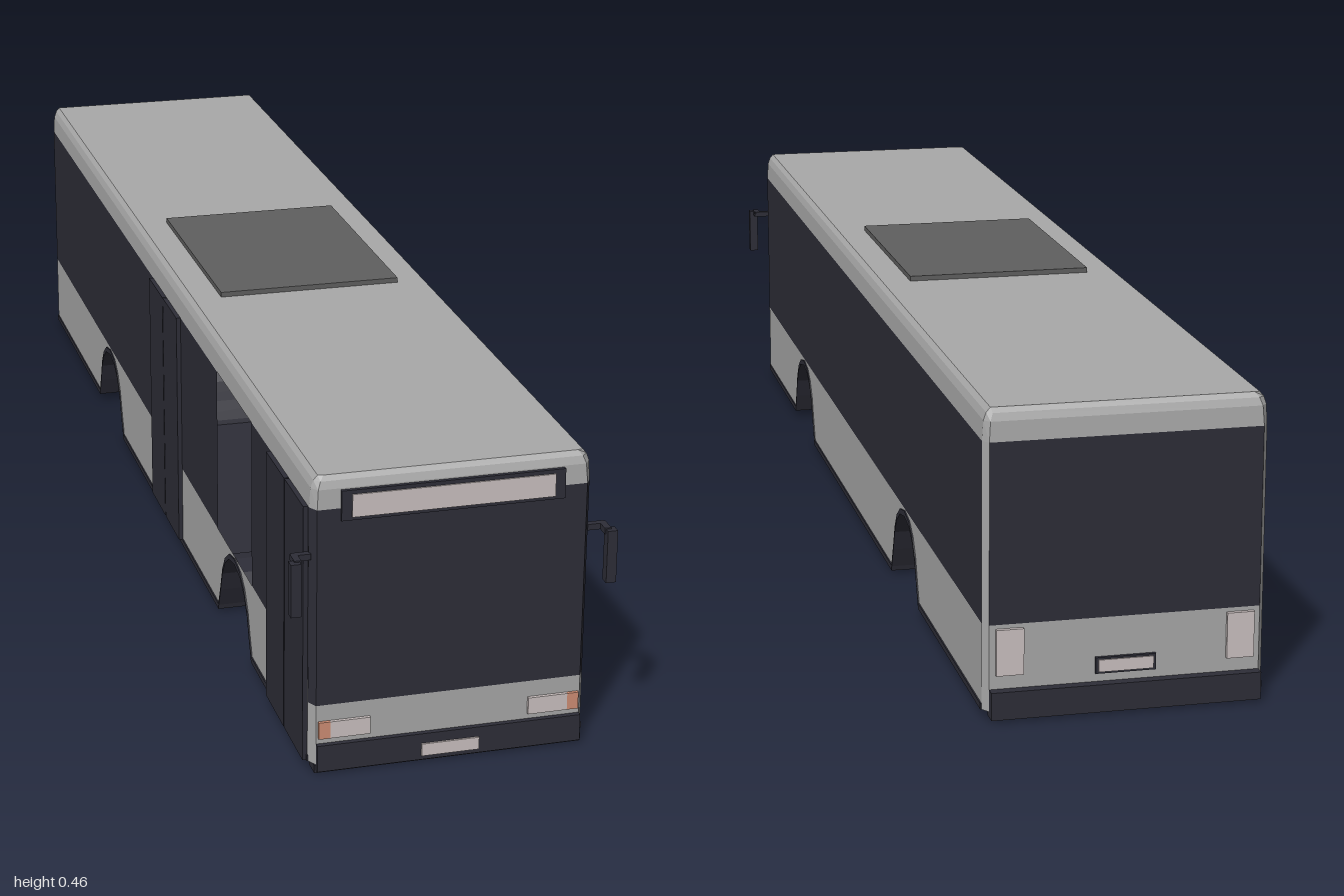
import * as THREE from 'three';

const mat = (name, color, side = THREE.DoubleSide) => {
  const m = new THREE.MeshStandardMaterial({ color, side });
  m.name = name;
  return m;
};

export function createModel() {
  const bus = new THREE.Group();
  bus.name = 'bus';
  const grey = mat('bodyGrey', 0xa8a8a8);
  const dark = mat('darkGlass', 0x2d2d37);
  const hatchGrey = mat('hatchGrey', 0x5f5f5f);
  const lamp = mat('paleLamp', 0xcbc1c0);
  const orange = mat('indicatorOrange', 0xce8e74);

  const add = (name, geo, material) => {
    const m = new THREE.Mesh(geo, material);
    m.name = name;
    bus.add(m);
    return m;
  };
  // Box given by its limits on each axis
  const box = (name, material, [x0, x1], [y0, y1], [z0, z1]) => {
    const m = add(name, new THREE.BoxGeometry(x1 - x0, y1 - y0, z1 - z0), material);
    m.position.set((x0 + x1) / 2, (y0 + y1) / 2, (z0 + z1) / 2);
  };
  // Flat skin: 2D outline mapped into space by a rule
  const skin = (name, material, pts, place) => {
    const geo = new THREE.ShapeGeometry(new THREE.Shape(pts.map(p => new THREE.Vector2(...p))));
    const pos = geo.attributes.position;
    for (let i = 0; i < pos.count; i++) pos.setXYZ(i, ...place(pos.getX(i), pos.getY(i)));
    geo.computeVertexNormals();
    add(name, geo, material);
  };
  const rect = (a0, a1, b0, b1) => [[a0, b0], [a1, b0], [a1, b1], [a0, b1]];

  const W = 0.205, NOSE = 0.197, ZF = 0.982, ZR = -0.985, CF = 0.968, CR = -0.973;
  const BELT = 0.14, EAVE = 0.405;

  // Lower edge of the body, with two wheel arches
  const arch = [[-0.106, 0.012], [-0.092, 0.045], [-0.08, 0.078], [-0.062, 0.104], [-0.036, 0.122], [0, 0.129],
    [0.036, 0.122], [0.062, 0.104], [0.08, 0.078], [0.092, 0.045], [0.106, 0.012]];
  const archAt = c => arch.map(([z, y]) => [z + c, y]);
  const edge = [[CR, 0.012], ...archAt(-0.43), [-0.322, 0.004], [0.427, 0.004], ...archAt(0.535), [CF, 0.012]];

  // Underbody and wheel arch liners
  const under = new THREE.Shape([...edge, ...edge.map(([z, y]) => [z, y + 0.009]).reverse()]
    .map(p => new THREE.Vector2(...p)));
  const underGeo = new THREE.ExtrudeGeometry(under, { depth: 0.414, bevelEnabled: false });
  underGeo.rotateY(-Math.PI / 2).translate(0.207, 0, 0);
  add('underbody', underGeo, dark);

  // Side walls: the right one has an open window
  for (const s of [1, -1]) {
    const tag = s > 0 ? 'left' : 'right';
    const place = (z, y) => [s * W, y, z];
    skin(tag + 'LowerPanel', grey, [...edge, [CF, BELT], [CR, BELT]], place);
    const spans = s > 0 ? [[CR, CF]] : [[CR, 0.42], [0.64, CF]];
    for (const [a, b] of spans) skin(tag + 'Windows', dark, rect(a, b, BELT, EAVE), place);
    // Chamfered corner posts
    const post = (name, m, z0, z1, y0, y1) =>
      skin(tag + name, m, rect(0, 1, y0, y1), (t, y) => [s * (W + (NOSE - W) * t), y, z0 + (z1 - z0) * t]);
    post('FrontPostLower', grey, CF, ZF, 0.012, 0.105);
    post('FrontPostUpper', dark, CF, ZF, 0.105, EAVE);
    post('RearPost', grey, CR, ZR, 0.012, EAVE);
  }

  // End walls
  const front = (x, y) => [x, y, ZF], rear = (x, y) => [x, y, ZR];
  skin('frontPanel', grey, rect(-NOSE, NOSE, 0.012, 0.105), front);
  skin('windscreen', dark, rect(-NOSE, NOSE, 0.105, EAVE), front);
  skin('rearPanel', grey, rect(-NOSE, NOSE, 0.012, BELT), rear);
  skin('rearWindow', dark, rect(-NOSE, NOSE, BELT, EAVE), rear);

  // Roof: stacked eight-sided rings closed by a cap
  const ring = (y, d) => {
    const half = [[W - d, CR], [W - d, CF], [NOSE - d, ZF - d], [-NOSE + d, ZF - d],
      [-W + d, CF], [-W + d, CR], [-NOSE + d, ZR + d], [NOSE - d, ZR + d]];
    return half.map(([x, z]) => [x, y, Math.max(ZR + d, Math.min(ZF - d, z))]);
  };
  const rings = [ring(EAVE, 0), ring(0.434, 0.002), ring(0.445, 0.006), ring(0.452, 0.012)];
  const verts = [];
  for (let r = 0; r < rings.length - 1; r++) {
    for (let i = 0; i < 8; i++) {
      const j = (i + 1) % 8, [a, b, c, d] = [rings[r][i], rings[r][j], rings[r + 1][j], rings[r + 1][i]];
      verts.push(...a, ...c, ...b, ...a, ...d, ...c);
    }
  }
  const top = rings[rings.length - 1];
  for (let i = 1; i < 7; i++) verts.push(...top[0], ...top[i + 1], ...top[i]);
  // Put corners in outward order
  for (let i = 0; i < verts.length; i += 9) {
    const [a, b, c] = [0, 3, 6].map(k => new THREE.Vector3(...verts.slice(i + k, i + k + 3)));
    const n = b.clone().sub(a).cross(c.clone().sub(a));
    if (n.dot(a.clone().add(b).add(c).divideScalar(3).sub(new THREE.Vector3(0, 0.2, 0))) < 0) {
      verts.splice(i + 3, 6, ...c.toArray(), ...b.toArray());
    }
  }
  const roof = new THREE.BufferGeometry();
  roof.setAttribute('position', new THREE.Float32BufferAttribute(verts, 3));
  roof.computeVertexNormals();
  add('roof', roof, grey);
  box('roofHatch', hatchGrey, [-0.148, 0.148], [0.45, 0.46], [-0.195, 0.212]);

  // Two double-leaf doors on the right side
  for (const z of [-0.045, 0.755]) {
    for (const k of [0, 1]) {
      box('doorLeaf', dark, [-0.212, -0.204], [0.012, EAVE], [z + k * 0.106, z + k * 0.106 + 0.103]);
    }
  }

  // Front details
  box('frontBumper', dark, [-0.197, 0.197], [0.004, 0.045], [0.97, 0.99]);
  box('frontBumperLip', dark, [-0.2, 0.2], [0, 0.012], [0.955, 0.984]);
  box('frontPlate', lamp, [-0.043, 0.043], [0.011, 0.03], [0.987, 0.993]);
  box('signFrame', dark, [-0.163, 0.163], [0.387, 0.432], [0.978, 0.986]);
  box('destinationSign', lamp, [-0.148, 0.148], [0.392, 0.426], [0.981, 0.988]);

  // Rear details
  box('rearBumper', dark, [-0.197, 0.197], [0.004, 0.045], [-1, -0.975]);
  box('rearPlateFrame', dark, [-0.044, 0.044], [0.058, 0.082], [-0.99, -0.984]);
  box('rearPlate', lamp, [-0.04, 0.04], [0.061, 0.079], [-0.992, -0.986]);

  // Lamps and mirrors, mirrored across the middle
  for (const s of [1, -1]) {
    const span = (a, b) => (s > 0 ? [a, b] : [-b, -a]);
    box('headlight', lamp, span(0.118, 0.177), [0.054, 0.08], [0.978, 0.987]);
    box('indicator', orange, span(0.177, 0.194), [0.054, 0.08], [0.978, 0.987]);
    box('rearLamp', lamp, span(0.148, 0.188), [0.066, 0.134], [-0.991, -0.982]);
    box('mirrorArm', dark, span(0.203, 0.23), [0.328, 0.337], [0.964, 0.974]);
    box('mirrorBracket', dark, span(0.222, 0.232), [0.328, 0.337], [0.966, 0.992]);
    box('mirror', dark, span(0.224, 0.239), [0.255, 0.335], [0.985, 1]);
  }
  return bus;
}
